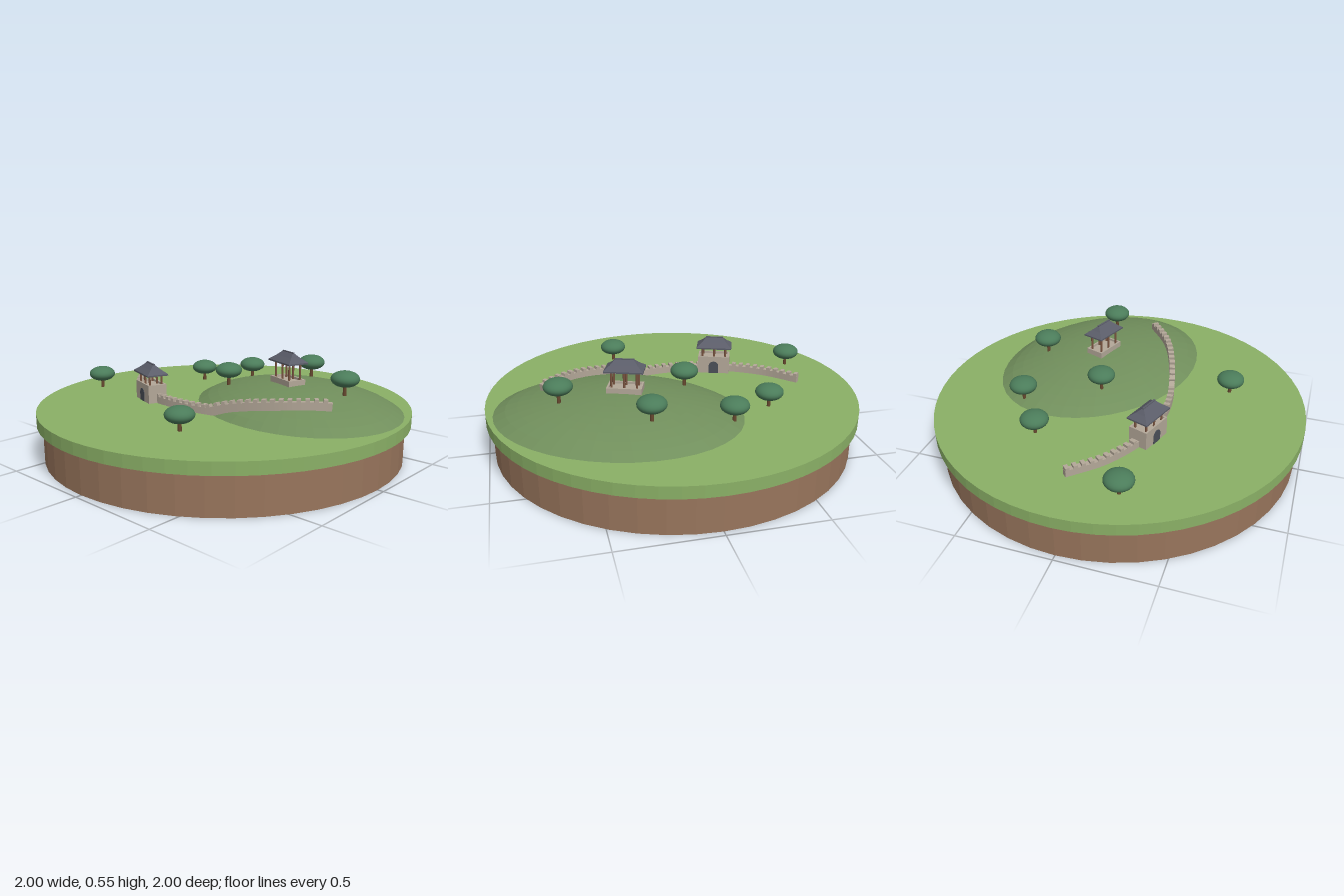
import * as THREE from 'three';

const mat = (name, color, extra = {}) => Object.assign(new THREE.MeshStandardMaterial({ color, ...extra }), { name });

const GROUND = 0.263;
const HILL = { x: 0.335, z: -0.215, a: 0.646, b: 0.509, turn: 0.42, h: 0.115 };
const hillProfile = (t2) => (t2 >= 1 ? 0 : HILL.h * Math.pow(1 - t2, 0.8));

// Height of the terrain at a point
function groundAt(x, z) {
  const dx = x - HILL.x, dz = z - HILL.z;
  const c = Math.cos(HILL.turn), s = Math.sin(HILL.turn);
  const u = (dx * c + dz * s) / HILL.a, v = (dz * c - dx * s) / HILL.b;
  return GROUND + hillProfile(u * u + v * v);
}

export function createModel() {
  const model = new THREE.Group();
  model.name = 'islandWithWall';
  const grass = mat('grass green', 0x8ab066);
  const hillGreen = mat('hill green', 0x718f5c, { flatShading: true });
  const soil = mat('soil brown', 0x98755c, { flatShading: true });
  const stone = mat('stone', 0xb3a798);
  const roofGrey = mat('roof slate', 0x5b5d69, { flatShading: true });
  const wood = mat('post wood', 0x7a5440);
  const leaf = mat('leaf green', 0x4b7c5a);
  const bark = mat('bark brown', 0x67482f);
  const dark = mat('gate opening', 0x4b5058);
  grass.flatShading = true;

  function add(parent, name, geometry, material, x = 0, y = 0, z = 0) {
    const mesh = new THREE.Mesh(geometry, material);
    mesh.name = name;
    mesh.position.set(x, y, z);
    parent.add(mesh);
    return mesh;
  }
  const box = (w, h, d) => new THREE.BoxGeometry(w, h, d);

  // Round base
  add(model, 'soilBase', new THREE.CylinderGeometry(0.97, 0.97, 0.2, 48), soil, 0, 0.1, 0);
  add(model, 'grassDisc', new THREE.CylinderGeometry(1, 1, GROUND - 0.2, 64), grass, 0, (GROUND + 0.2) / 2, 0);

  // Oval hill
  const profile = [];
  for (let i = 0; i <= 10; i++) {
    const t = 1 - i / 10;
    profile.push(new THREE.Vector2(t, hillProfile(t * t)));
  }
  const hill = add(model, 'hill', new THREE.LatheGeometry(profile, 40), hillGreen, HILL.x, GROUND, HILL.z);
  hill.scale.set(HILL.a, 1, HILL.b);
  hill.rotation.y = -HILL.turn;

  // Winding wall with battlements
  const wall = new THREE.Group();
  wall.name = 'wall';
  model.add(wall);
  const path = new THREE.CatmullRomCurve3([
    [-0.72, -0.04], [-0.56, 0.12], [-0.31, 0.25], [-0.03, 0.28], [0.25, 0.23], [0.5, 0.14], [0.7, 0],
  ].map(([x, z]) => new THREE.Vector3(x, 0, z)));
  const count = 76;
  const points = path.getSpacedPoints(count);
  points.forEach((p) => { p.y = groundAt(p.x, p.z); });
  for (let i = 0; i < count; i++) {
    const a = points[i], b = points[i + 1];
    const mid = a.clone().add(b).multiplyScalar(0.5);
    const length = a.distanceTo(b);
    const piece = new THREE.Group();
    piece.name = 'wallPiece';
    piece.position.copy(mid);
    piece.lookAt(b);
    wall.add(piece);
    add(piece, 'wallBody', box(0.03, 0.05, length + 0.002), stone, 0, 0.011, 0);
    if (i % 2 === 0) add(piece, 'merlon', box(0.032, 0.015, length), stone, 0, 0.043, 0);
  }

  // Hipped roof from stacked rectangles, slightly flared at the eaves
  function roofGeometry() {
    const rings = [[0.1, 0.06, 0], [0.1, 0.06, 0.008], [0.07, 0.029, 0.032], [0.048, 0.004, 0.055]];
    const corners = [[-1, 1], [1, 1], [1, -1], [-1, -1]];
    const pos = [], index = [];
    for (const [w, d, y] of rings) for (const [sx, sz] of corners) pos.push(sx * w, y, sz * d);
    for (let r = 0; r < rings.length - 1; r++) {
      for (let k = 0; k < 4; k++) {
        const a = r * 4 + k, b = r * 4 + (k + 1) % 4;
        index.push(a, b, b + 4, a, b + 4, a + 4);
      }
    }
    const top = (rings.length - 1) * 4;
    index.push(0, 2, 1, 0, 3, 2, top, top + 1, top + 2, top, top + 2, top + 3);
    const g = new THREE.BufferGeometry();
    g.setAttribute('position', new THREE.Float32BufferAttribute(pos, 3));
    g.setIndex(index);
    g.computeVertexNormals();
    return g;
  }

  // Tower: stone block, low parapet, posts and roof
  function tower(name, x, z, bottom, blockTop, eave) {
    const g = new THREE.Group();
    g.name = name;
    g.position.set(x, 0, z);
    g.rotation.y = -0.34;
    model.add(g);
    add(g, 'stoneBlock', box(0.18, blockTop - bottom, 0.104), stone, 0, (blockTop + bottom) / 2, 0);
    for (const s of [-1, 1]) {
      add(g, 'parapetLong', box(0.18, 0.012, 0.01), stone, 0, blockTop + 0.006, s * 0.047);
      add(g, 'parapetShort', box(0.01, 0.012, 0.104), stone, s * 0.085, blockTop + 0.006, 0);
      for (const px of [-0.065, 0, 0.065]) {
        add(g, 'post', new THREE.CylinderGeometry(0.006, 0.006, eave - blockTop, 8), wood,
          px, (eave + blockTop) / 2, s * 0.034);
      }
    }
    add(g, 'roof', roofGeometry(), roofGrey, 0, eave, 0);
    add(g, 'ridge', box(0.1, 0.007, 0.01), roofGrey, 0, eave + 0.055, 0);
    return g;
  }
  const gate = tower('gateTower', -0.315, 0.25, GROUND - 0.003, 0.35, 0.41);
  tower('hillPavilion', 0.29, -0.19, 0.355, 0.393, 0.489);

  // Arched openings on both faces of the gate
  const arch = new THREE.Shape();
  arch.moveTo(-0.028, 0);
  arch.lineTo(0.028, 0);
  arch.lineTo(0.028, 0.042);
  arch.absarc(0, 0.042, 0.028, 0, Math.PI, false);
  arch.lineTo(-0.028, 0);
  const archGeometry = new THREE.ExtrudeGeometry(arch, { depth: 0.006, bevelEnabled: false, curveSegments: 10 });
  for (const s of [1, -1]) {
    const opening = add(gate, 'archOpening', archGeometry, dark, 0, GROUND, s * 0.049);
    if (s < 0) opening.rotation.y = Math.PI;
  }

  // Trees: x, z and height of the crown's middle
  const trees = [
    [-0.76, 0.24, 0.344], [-0.445, -0.31, 0.344], [-0.2, -0.48, 0.368], [0.22, -0.51, 0.433],
    [0.63, -0.22, 0.443], [-0.045, -0.09, 0.414], [0.235, 0.565, 0.344],
  ];
  const crownGeometry = new THREE.SphereGeometry(0.074, 24, 16);
  crownGeometry.scale(1, 0.57, 1);
  for (const [x, z, y] of trees) {
    const tree = new THREE.Group();
    tree.name = 'tree';
    tree.position.set(x, y, z);
    model.add(tree);
    const bottom = groundAt(x, z) - y - 0.004;
    add(tree, 'trunk', new THREE.CylinderGeometry(0.008, 0.01, -bottom, 8), bark, 0, bottom / 2, 0);
    add(tree, 'crown', crownGeometry, leaf);
  }
  return model;
}
